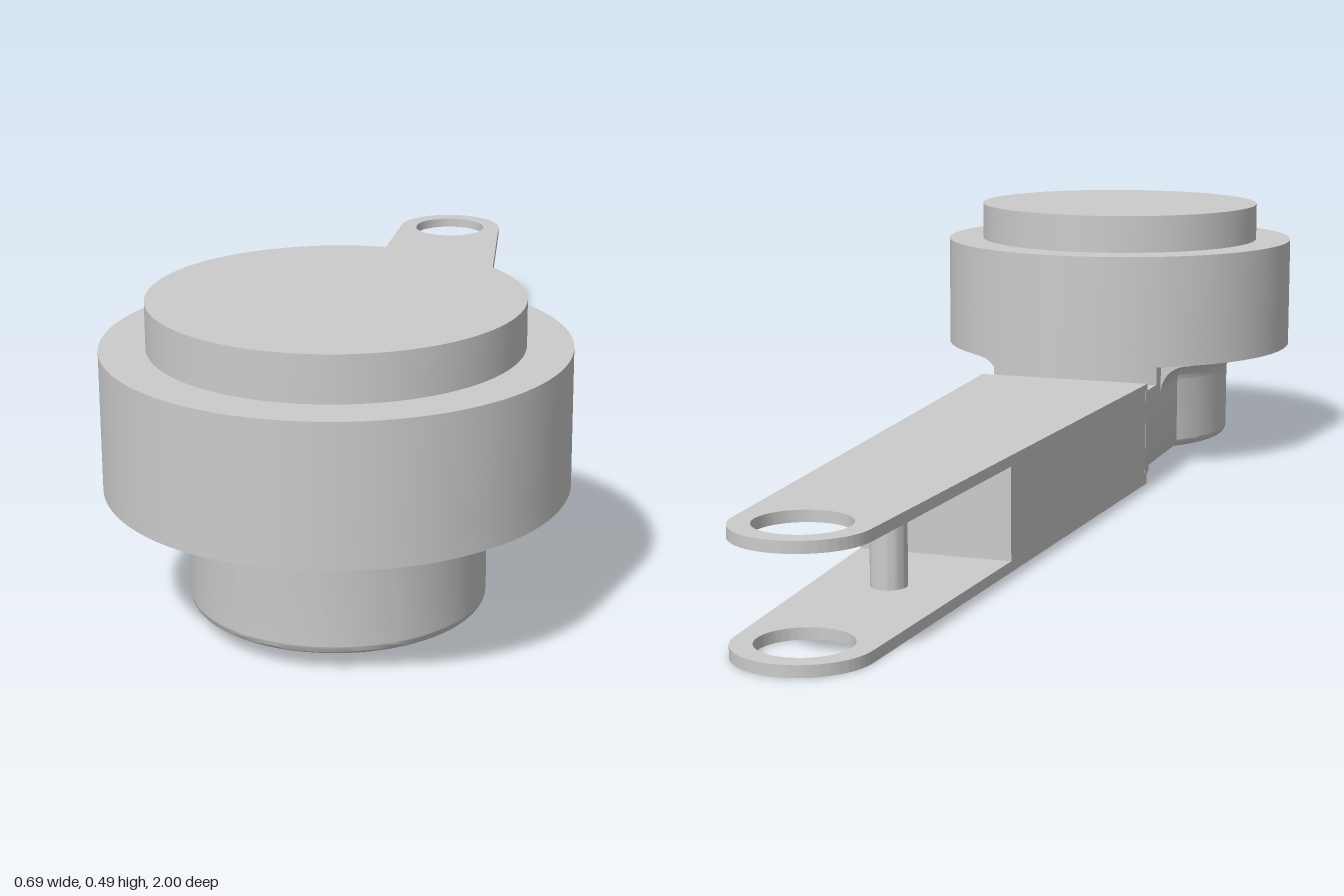
import * as THREE from 'three';
import { toCreasedNormals } from 'three/addons/utils/BufferGeometryUtils.js';

const HUB_Z = 0.657, DRUM_R = 0.343;
const ROOT_Z = 0.29, ROOT_W = 0.163;      // wide end of the arm
const TIP_Z = -0.895, TIP_R = 0.105;      // rounded end of the arm
const SPLIT_Z = -0.39;                    // where the solid arm becomes a fork

export function createModel() {
  const group = new THREE.Group();
  const material = new THREE.MeshStandardMaterial({ color: 0xcccccc });

  const add = (name, geometry, x = 0, y = 0, z = 0) => {
    const mesh = new THREE.Mesh(toCreasedNormals(geometry, 0.5), material);
    mesh.name = name;
    mesh.position.set(x, y, z);
    group.add(mesh);
    return mesh;
  };
  // Plan shapes use (x, -z) and are raised along y
  const slab = (shape, height) => new THREE.ExtrudeGeometry(shape, {
    depth: height, bevelEnabled: false, curveSegments: 48,
  }).rotateX(-Math.PI / 2);
  // Front sections use (x, y) and run along z
  const bar = (shape, length) => new THREE.ExtrudeGeometry(shape, {
    depth: length, bevelEnabled: false, curveSegments: 12,
  });
  const polygon = (points) => new THREE.Shape(points.map(([x, y]) => new THREE.Vector2(x, y)));
  const circle = (x, y, r) => new THREE.Path().absarc(x, y, r, 0, Math.PI * 2, true);

  // Drum with a ring of blind bolt holes underneath
  const base = new THREE.Shape().absarc(0, 0, DRUM_R, 0, Math.PI * 2);
  for (let i = 0; i < 8; i++) {
    if (i === 2) continue; // this place is covered by the arm
    const a = i * Math.PI / 4;
    base.holes.push(circle(0.305 * Math.cos(a), 0.305 * Math.sin(a), 0.026));
  }
  add('drumBase', slab(base, 0.04), 0, 0.21, HUB_Z);
  add('drum', new THREE.CylinderGeometry(DRUM_R, DRUM_R, 0.17, 96), 0, 0.335, HUB_Z);
  add('drumCap', new THREE.CylinderGeometry(0.275, 0.275, 0.07, 96), 0, 0.455, HUB_Z);

  // Neck below the drum, rounded at the foot and flared at the top
  const neck = new THREE.Path();
  neck.moveTo(0, 0.026);
  neck.lineTo(0.205, 0.026);
  neck.absarc(0.205, 0.041, 0.015, -Math.PI / 2, 0);
  neck.lineTo(0.22, 0.155);
  neck.absarc(0.275, 0.155, 0.055, Math.PI, Math.PI / 2, true);
  add('neck', new THREE.LatheGeometry(neck.getPoints(10), 96), 0, 0, HUB_Z);

  // Connector from the neck to the arm, with rounded lower edges
  const roundedSection = (bottom, top, r) => {
    const s = new THREE.Shape();
    s.moveTo(-ROOT_W, top);
    s.lineTo(-ROOT_W, bottom + r);
    s.absarc(-ROOT_W + r, bottom + r, r, Math.PI, Math.PI * 1.5);
    s.absarc(ROOT_W - r, bottom + r, r, Math.PI * 1.5, Math.PI * 2);
    s.lineTo(ROOT_W, top);
    s.closePath();
    return s;
  };
  add('connector', bar(roundedSection(0.026, 0.177, 0.013), 0.32), 0, 0, 0.28);
  add('connectorLip', bar(roundedSection(0.012, 0.1, 0.013), 0.025), 0, 0, 0.28);

  // Raised part of the connector, following the drum's rim
  const half = Math.asin(ROOT_W / DRUM_R);
  const riser = new THREE.Shape();
  riser.moveTo(-ROOT_W, 0.05);
  riser.lineTo(ROOT_W, 0.05);
  riser.absarc(0, 0, DRUM_R, Math.PI / 2 - half, Math.PI / 2 + half);
  riser.closePath();
  add('connectorRiser', slab(riser, 0.06), 0, 0.155, HUB_Z);

  // Flare from the connector's sides to the drum
  const flare = new THREE.Shape();
  flare.moveTo(-ROOT_W, 0.155);
  flare.lineTo(ROOT_W, 0.155);
  flare.absarc(ROOT_W + 0.055, 0.155, 0.055, Math.PI, Math.PI / 2, true);
  flare.lineTo(-ROOT_W - 0.055, 0.21);
  flare.absarc(-ROOT_W - 0.055, 0.155, 0.055, Math.PI / 2, 0, true);
  add('connectorFlare', bar(flare, 0.17), 0, 0, 0.385);

  // Fork plates, full length of the arm
  const tilt = Math.atan2(ROOT_W - TIP_R, ROOT_Z - TIP_Z);
  const plate = new THREE.Shape();
  plate.moveTo(-ROOT_W, -ROOT_Z);
  plate.lineTo(ROOT_W, -ROOT_Z);
  plate.absarc(0, -TIP_Z, TIP_R, tilt, Math.PI - tilt);
  plate.closePath();
  plate.holes.push(circle(0, -TIP_Z, 0.072));
  for (const [name, y] of [['lowerPlate', 0], ['upperPlate', 0.172]]) {
    add(name, slab(plate, 0.018), 0, y);
  }

  // Solid part of the arm between the plates
  const t = (ROOT_Z - SPLIT_Z) / (ROOT_Z - TIP_Z);
  const splitW = ROOT_W + (TIP_R - ROOT_W) * t;
  add('armBody', slab(polygon([
    [-ROOT_W, -ROOT_Z], [ROOT_W, -ROOT_Z], [splitW, -SPLIT_Z], [-splitW, -SPLIT_Z],
  ]), 0.154), 0, 0.018);

  // Pin across the fork
  add('forkPin', new THREE.CylinderGeometry(0.029, 0.029, 0.156, 32), 0, 0.095, -0.585);

  return group;
}
